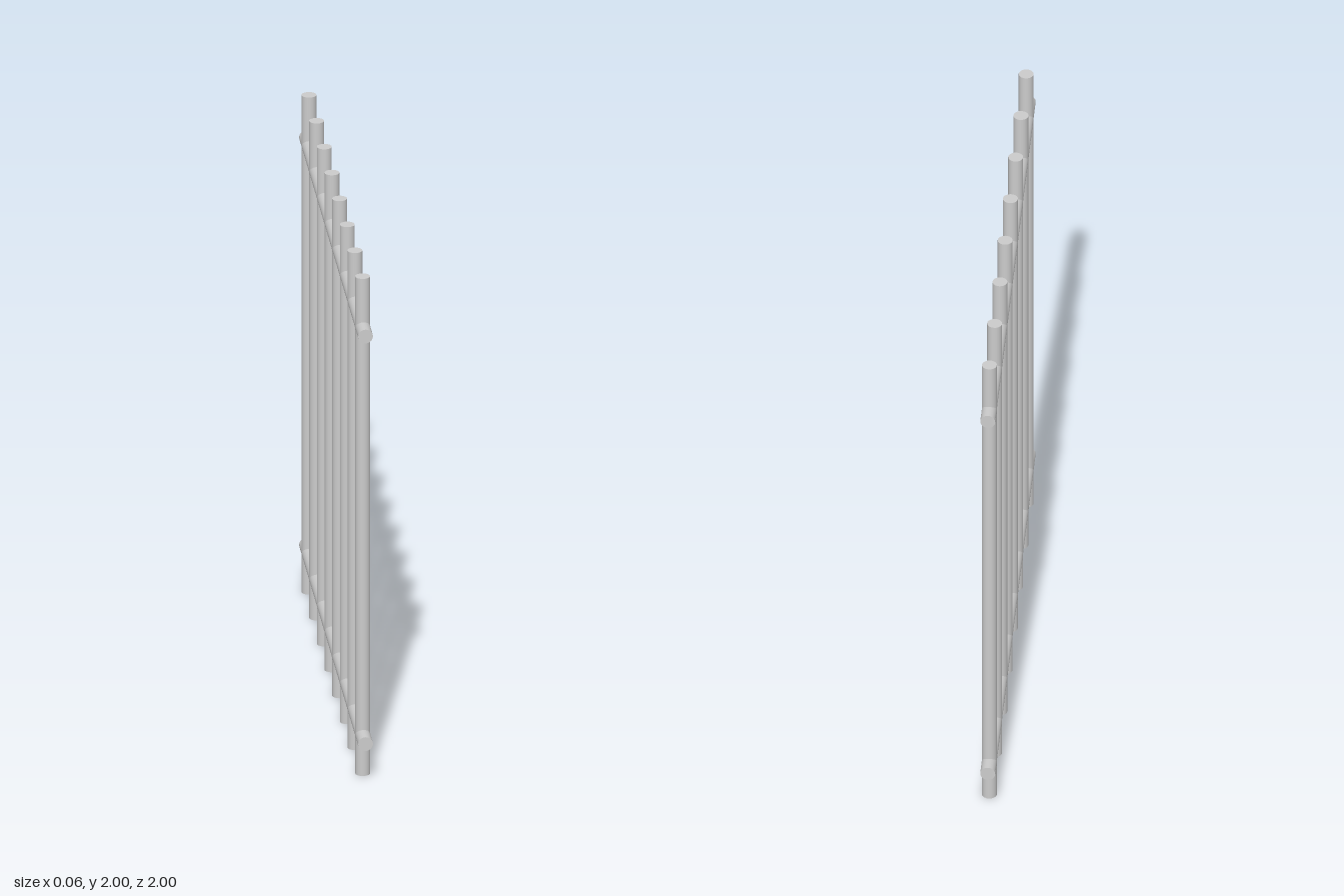
import * as THREE from 'three';

const RADIUS = 0.028;
const BAR_COUNT = 8;
const FIRST_Z = 0.9;
const SPACING = 0.2595;

export function createModel() {
  const group = new THREE.Group();
  group.name = 'barFence';
  const material = new THREE.MeshStandardMaterial({ color: 0xcccccc });
  const rod = new THREE.CylinderGeometry(RADIUS, RADIUS, 2, 20);

  // Upright bars, evenly spaced along z
  for (let i = 0; i < BAR_COUNT; i++) {
    const bar = new THREE.Mesh(rod, material);
    bar.name = `uprightBar${i + 1}`;
    bar.position.set(0, 1, FIRST_Z - i * SPACING);
    group.add(bar);
  }

  // Horizontal rails running through the bars
  for (const [name, y] of [['lowerRail', 0.157], ['upperRail', 1.797]]) {
    const rail = new THREE.Mesh(rod, material);
    rail.name = name;
    rail.rotation.x = Math.PI / 2;
    rail.position.y = y;
    group.add(rail);
  }

  return group;
}
